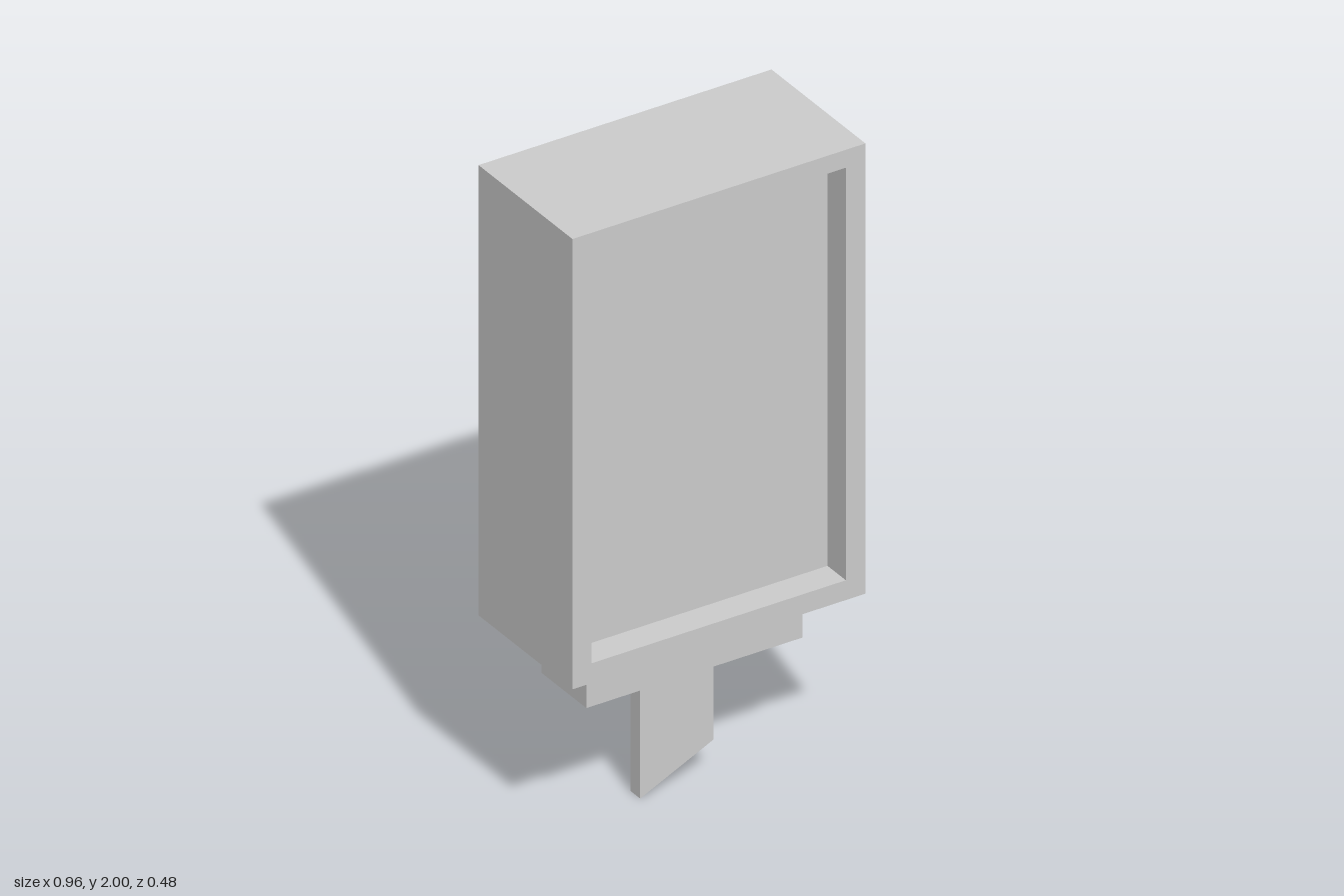
import * as THREE from 'three';

const material = new THREE.MeshStandardMaterial({ color: 0xcccccc, flatShading: true });

// Closed outline from corner points
const outline = (Type, points) => new Type(points.map(([x, y]) => new THREE.Vector2(x, y)));
const rectangle = (Type, x0, y0, x1, y1) =>
  outline(Type, [[x0, y0], [x1, y0], [x1, y1], [x0, y1]]);

// Slab with the given outline, spanning z0 to z1
function slab(name, shape, z0, z1) {
  const geometry = new THREE.ExtrudeGeometry(shape, { depth: z1 - z0, bevelEnabled: false });
  geometry.translate(0, 0, z0);
  const mesh = new THREE.Mesh(geometry, material);
  mesh.name = name;
  return mesh;
}

export function createModel() {
  const model = new THREE.Group();
  model.name = 'panelOnStake';

  const halfWidth = 0.478, halfDepth = 0.238;
  const bottom = 0.567, top = 2;
  const recessZ = halfDepth - 0.093;

  // Housing: solid back plus a raised rim around the recessed front panel
  const housing = new THREE.Group();
  housing.name = 'housing';
  const rim = rectangle(THREE.Shape, -halfWidth, bottom, halfWidth, top);
  rim.holes.push(rectangle(THREE.Path, -0.416, 0.63, 0.414, 1.943));
  housing.add(
    slab('housingBack', rectangle(THREE.Shape, -halfWidth, bottom, halfWidth, top), -halfDepth, recessZ),
    slab('frontRim', rim, recessZ, halfDepth)
  );
  model.add(housing);

  // Plinth under the housing
  model.add(slab('plinth', rectangle(THREE.Shape, -0.353, 0.406, 0.353, bottom), -0.114, 0.114));

  // Thin stake with a slanted lower end
  const stake = outline(THREE.Shape, [[-0.12, 0], [0.12, 0.112], [0.12, 0.406], [-0.12, 0.406]]);
  model.add(slab('stake', stake, -0.025, 0.025));

  return model;
}
